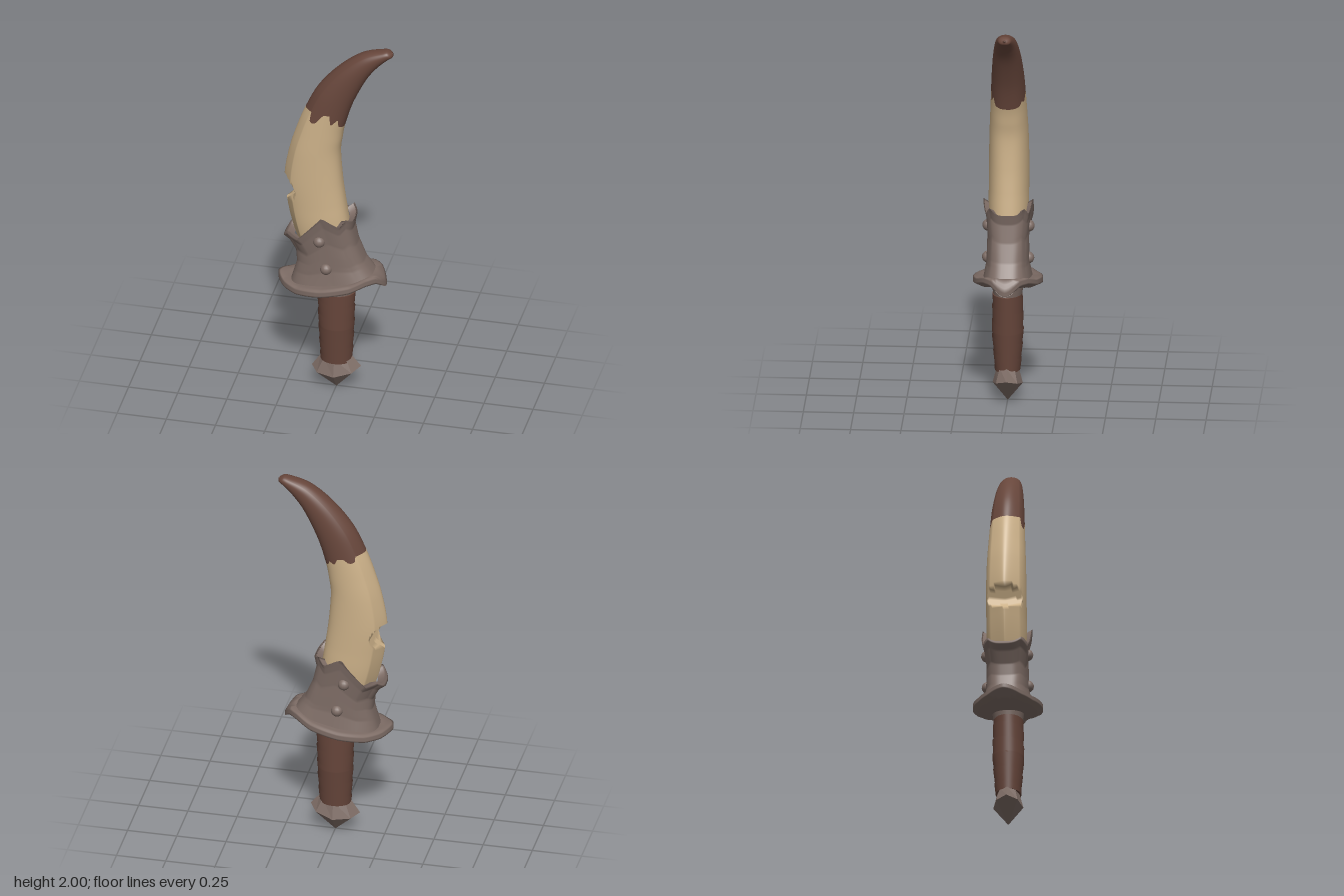
import * as THREE from 'three';
import { ParametricGeometry } from 'three/addons/geometries/ParametricGeometry.js';

const flat = (name, color) => {
  const m = new THREE.MeshStandardMaterial({ color });
  m.name = name;
  return m;
};

// piecewise linear lookup in [[x, y], ...]
function look(x, pts) {
  if (x <= pts[0][0]) return pts[0][1];
  for (let i = 1; i < pts.length; i++) {
    const [x0, y0] = pts[i - 1], [x1, y1] = pts[i];
    if (x <= x1) return y0 + (y1 - y0) * (x - x0) / (x1 - x0);
  }
  return pts[pts.length - 1][1];
}
const lerp = THREE.MathUtils.lerp;
const spow = (s, p) => Math.sign(s) * Math.abs(s) ** p;

// skin around the y axis: fn(c, s, v) gives a point, c runs along x and s along z
function loft(name, material, slices, stacks, fn) {
  const geo = new ParametricGeometry((u, v, out) => {
    const a = u * Math.PI * 2;
    out.set(...fn(Math.cos(a), -Math.sin(a), v, a));
  }, slices, stacks);
  const mesh = new THREE.Mesh(geo, material);
  mesh.name = name;
  return mesh;
}

export function createModel() {
  const group = new THREE.Group();
  const brown = flat('dark brown', 0x67463b);
  const ivory = flat('ivory', 0xcbb088);
  const metal = flat('dull metal', 0x7d6c65);

  // blade: back edge, inner edge and half depth of each section
  const curve = (pts) => new THREE.CatmullRomCurve3(
    pts.map(([x, y, z = 0]) => new THREE.Vector3(x, y, z)), false, 'catmullrom', 0.5);
  const back = curve([[-0.18, 0.8], [-0.22, 0.92], [-0.248, 1.05], [-0.264, 1.2], [-0.24, 1.36],
    [-0.2, 1.5], [-0.155, 1.62], [-0.09, 1.75], [0.01, 1.87], [0.125, 1.96], [0.235, 1.995], [0.277, 1.998]]);
  const inner = curve([[0.09, 0.8, 0.09], [0.06, 1.0, 0.1], [0.045, 1.1, 0.1], [0.03, 1.22, 0.1],
    [0.02, 1.37, 0.097], [0.03, 1.46, 0.092], [0.045, 1.54, 0.087], [0.085, 1.67, 0.08],
    [0.15, 1.81, 0.068], [0.205, 1.89, 0.054], [0.265, 1.95, 0.037], [0.298, 1.968, 0.022]]);
  // ragged edge of the dark tip, across the blade
  const drips = [[0, 0], [0.18, 5], [0.21, -5], [0.29, -7], [0.37, -3.5], [0.45, 8.5],
    [0.6, 11.5], [0.71, 0.5], [0.82, 10], [0.89, 1], [1, 0]];
  const notch = [[1.06, -0.3], [1.085, -0.235], [1.11, -0.205], [1.15, -0.188], [1.19, -0.205],
    [1.205, -0.235], [1.225, -0.3]];
  const slices = 96, rows = 60;
  const blade = loft('blade', [ivory, brown], slices, rows * 2, (c, s, v) => {
    const f = (c + 1) / 2;
    const split = 6 / 11 + look(f, drips) / 300 * (s > 0 ? 1 : 0.5);
    const t = v < 0.5 ? v * 2 * split : lerp(split, 1, v * 2 - 1);
    const b = back.getPoint(t), i = inner.getPoint(t);
    const k = t > 0.94 ? Math.max(0.05, Math.sqrt(Math.max(0, 1 - ((t - 0.94) / 0.06) ** 2))) : 1;
    // the back edge is bevelled low down and rounds off toward the tip
    const round = Math.abs(s) ** 0.8;
    const bevel = c < -0.66 ? 0.8 * (c + 1) / 0.34 : round;
    const h = 0.5 + c * 0.5 * k;
    const y = lerp(b.y, i.y, h);
    let x = lerp(b.x, i.x, h);
    if (c < 0) x = Math.max(x, look(y, notch));
    return [x, y, Math.sign(s) * i.z * k * lerp(bevel, round, t)];
  });
  blade.geometry.clearGroups();
  blade.geometry.addGroup(0, rows * slices * 6, 0);
  blade.geometry.addGroup(rows * slices * 6, rows * slices * 6, 1);
  group.add(blade);

  // collar with a zigzag upper edge that turns in to the blade
  const collarTop = [[0, 0.89], [0.07, 0.925], [0.23, 0.905], [0.575, 1.045], [0.83, 0.99], [0.92, 1.03], [1, 1.0]];
  const collarLeft = [[0, -0.225], [0.4, -0.195], [0.64, -0.2], [0.84, -0.23], [0.93, -0.262], [1, -0.25]];
  const collarRight = [[0, 0.21], [0.06, 0.195], [0.25, 0.15], [0.55, 0.11], [0.83, 0.09], [1, 0.1]];
  const collarDepth = [[0, 0.12], [0.2, 0.106], [0.6, 0.102], [0.85, 0.112], [1, 0.124]];
  group.add(loft('collar', metal, 72, 32, (c, s, v) => {
    const h = Math.min(1, v / 0.875), k = Math.max(0, (v - 0.875) / 0.125);
    const f = (c + 1) / 2, cc = spow(c, 0.85), shrink = 1 - 0.22 * k;
    const l = look(h, collarLeft), r = look(h, collarRight);
    return [(l + r) / 2 + (r - l) / 2 * cc * shrink,
      lerp(lerp(0.62, 0.68, f), look((cc + 1) / 2, collarTop), h) - 0.02 * k,
      look(h, collarDepth) * spow(s, 0.65) * shrink];
  }));

  // rivets on both faces
  for (const side of [1, -1]) {
    for (const [x, y] of [[-0.065, 0.895], [-0.03, 0.74]]) {
      const rivet = new THREE.Mesh(new THREE.SphereGeometry(0.03, 16, 10), metal);
      rivet.name = 'rivet';
      rivet.position.set(x, y, side * 0.1);
      group.add(rivet);
    }
  }

  // guard: leaf-shaped plate, left end curled up, right end hooked down
  const guardLine = [[-0.295, 0.627], [-0.25, 0.605], [-0.18, 0.597], [-0.05, 0.612], [0.1, 0.645],
    [0.17, 0.677], [0.215, 0.683], [0.235, 0.665], [0.26, 0.63]];
  const guardScale = [[0, 0.25], [0.3, 0.8], [0.45, 1], [0.6, 1], [0.7, 0.92], [1, 0.3]];
  const guardRise = [[0, -0.02], [0.3, -0.026], [0.45, -0.012], [0.6, 0.012], [0.7, 0.02], [1, 0.03]];
  group.add(loft('guard', metal, 72, 20, (c, s, v) => {
    const k = look(v, guardScale);
    const x = -0.02 + 0.275 * c * k;
    return [x, look(x, guardLine) + look(v, guardRise) + 0.012 * s * s * k, 0.174 * spow(s, 1.25) * k];
  }));

  const neck = new THREE.Mesh(new THREE.CylinderGeometry(0.1, 0.084, 0.09, 32), metal);
  neck.name = 'neck';
  neck.scale.z = 0.82;
  neck.position.y = 0.585;
  group.add(neck);

  // grip with a spiral wrap
  group.add(loft('grip', brown, 48, 80, (c, s, v, a) => {
    const h = THREE.MathUtils.clamp((v - 0.03) / 0.94, 0, 1);
    const end = v < 0.02 || v > 0.98 ? 0.2 : 1;
    const turn = h * 5 + a / (Math.PI * 2);
    const k = end * (0.965 + 0.05 * (turn - Math.floor(turn)));
    return [look(h, [[0, 0.08], [0.5, 0.09], [1, 0.095]]) * c * k, lerp(0.165, 0.565, h),
      look(h, [[0, 0.064], [0.5, 0.079], [1, 0.075]]) * s * k];
  }));

  // faceted pommel, slightly tilted, ending in a point
  const pommel = loft('pommel', metal, 8, 3, (c, s, v) => {
    const ring = Math.round(v * 3);
    const [rx, rz, y, tilt] = [[0.002, 0.002, 0.003, 0], [0.125, 0.075, 0.122, 0.1],
      [0.08, 0.052, 0.182, 0.08], [0.01, 0.01, 0.19, 0]][ring];
    const dip = ring === 1 ? 0.03 * s * s : 0;
    return [rx * c, y + tilt * rx * c - dip, rz * s];
  });
  pommel.geometry = pommel.geometry.toNonIndexed();
  pommel.geometry.computeVertexNormals();
  group.add(pommel);

  return group;
}
